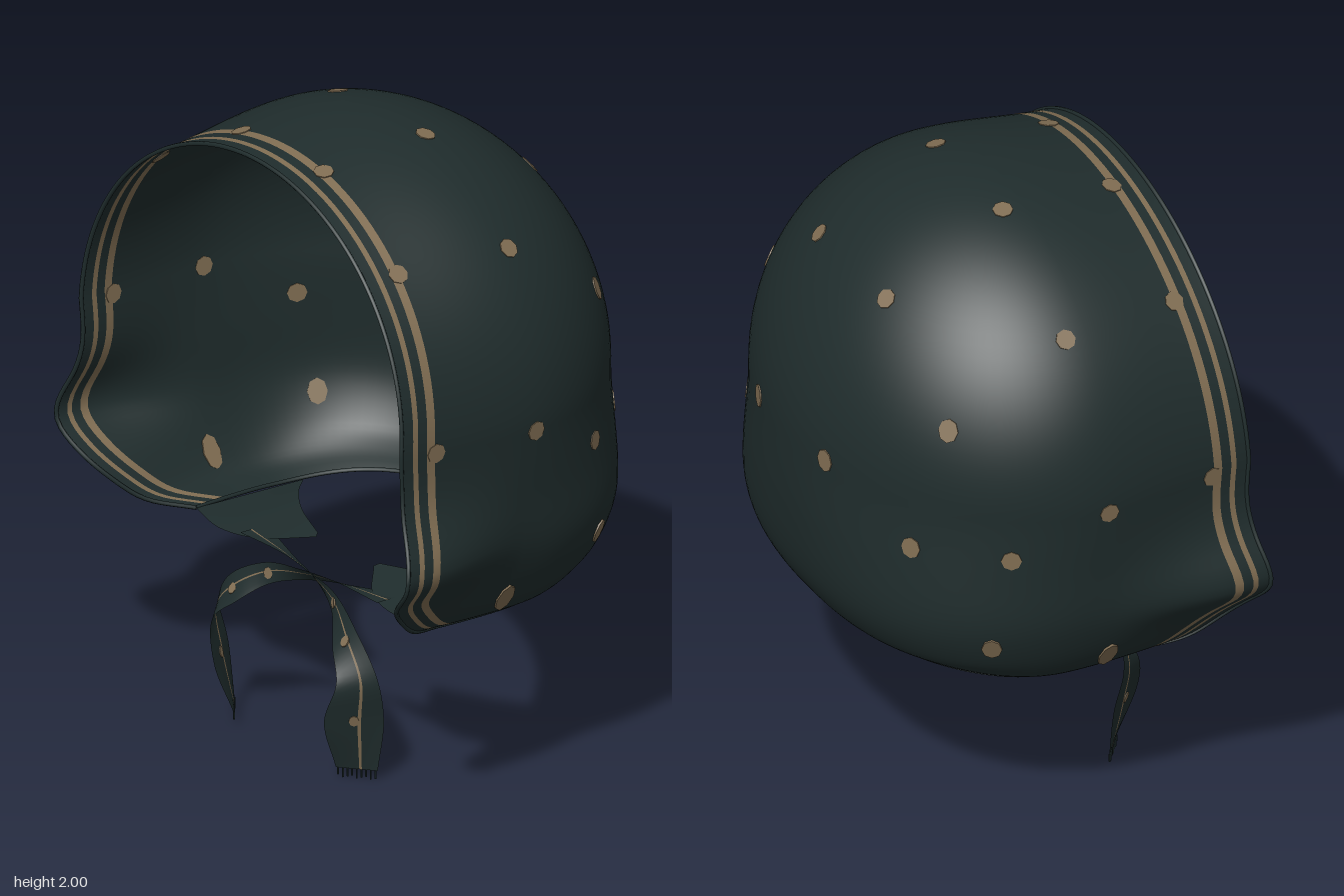
import * as THREE from 'three';
import { mergeVertices } from 'three/addons/utils/BufferGeometryUtils.js';

const smooth = THREE.MathUtils.smoothstep;
const V = (x, y, z) => new THREE.Vector3(x, y, z);

// Grid of points (rows of equal length) to a smooth surface; bandOf picks the material per column
function gridSurface(rows, bandOf = () => 0) {
  const n = rows[0].length, pos = [], index = [], geo = new THREE.BufferGeometry();
  rows.forEach(r => r.forEach(p => pos.push(p.x, p.y, p.z)));
  for (let c = 0; c < n - 1; c++) {
    const start = index.length;
    for (let r = 0; r < rows.length - 1; r++) {
      const a = r * n + c, b = a + 1, d = a + n, e = d + 1;
      index.push(a, b, d, b, e, d);
    }
    geo.addGroup(start, index.length - start, bandOf(c));
  }
  geo.setAttribute('position', new THREE.Float32BufferAttribute(pos, 3));
  geo.setIndex(index);
  const merged = mergeVertices(geo, 1e-4);
  merged.computeVertexNormals();
  return merged;
}

// Lower side profile: half width, height, depth behind the crown line, and front edge z
const LOWER = [
  [0.81, 1.25, 0.69, 0.56], [0.80, 1.12, 0.69, 0.555], [0.79, 1.0, 0.685, 0.567],
  [0.78, 0.86, 0.67, 0.595], [0.755, 0.76, 0.645, 0.57], [0.715, 0.67, 0.595, 0.495],
  [0.665, 0.605, 0.545, 0.41], [0.59, 0.567, 0.5, 0.28],
];
const lowerCurve = new THREE.CatmullRomCurve3(LOWER.map(p => V(p[0], p[1], p[2])), false, 'catmullrom');
const edgeCurve = new THREE.CatmullRomCurve3(LOWER.map(p => V(p[3], 0, 0)), false, 'catmullrom');
const CROWN_Z = 0.1;
const OFFSETS = [0, 0.02, 0.042, 0.06, 0.092, 0.12]; // hem and stripe borders

// One horizontal U-shaped slice, from the left front edge round the back to the right
function slice(W, y0, D, F) {
  const half = OFFSETS.map(o => [W, F - o]);
  for (let i = 1; i <= 10; i++) half.push([W, THREE.MathUtils.lerp(F - 0.12, CROWN_Z, i / 10)]);
  const power = 0.82 + 0.18 * smooth(y0, 0.8, 1.25); // squarer toward the neck
  for (let i = 1; i <= 28; i++) {
    const a = i / 28 * Math.PI / 2;
    half.push([i === 28 ? 0 : W * Math.cos(a) ** power, CROWN_Z - D * Math.sin(a) ** power]);
  }
  const left = half.map(([x, z]) => {
    const k = smooth(z, 0.1, 0.58);
    let y = y0 > 1.25 ? 1.25 + (y0 - 1.25) * (1 - 0.07 * k) : y0;
    y += 0.035 * smooth(-z, 0, 0.4) * (1 - smooth(y0, 0.57, 0.7));
    const spread = y0 > 0.86 ? 0.16 : 0.11;
    const flare = 0.105 * Math.exp(-(((y0 - 0.86) / spread) ** 2)) * smooth(z, 0.05, 0.52);
    return V(x * (1 - 0.04 * k) + (x > 0 ? flare : 0), y, z);
  });
  const right = left.slice(0, -1).reverse().map(p => V(-p.x, p.y, p.z));
  return [...left, ...right];
}

function hoodRows() {
  const rows = [];
  for (let i = 0; i < 32; i++) {
    const a = Math.PI / 2 * (1 - i / 32), c = i ? Math.cos(a) : 0;
    rows.push(slice(0.81 * c, 1.25 + 0.75 * Math.sin(a), 0.69 * c, 0.56 - 0.04 * Math.sin(a)));
  }
  for (let i = 0; i <= 32; i++) {
    const p = lowerCurve.getPoint(i / 32);
    rows.push(slice(p.x, p.y, p.z, edgeCurve.getPoint(i / 32).x));
  }
  return rows;
}

// Ribbon between two edge curves, with band fractions across its width
function ribbon(edgeA, edgeB, steps, cuts, bandOf) {
  const A = new THREE.CatmullRomCurve3(edgeA), B = new THREE.CatmullRomCurve3(edgeB), rows = [];
  for (let i = 0; i <= steps; i++) {
    const a = A.getPoint(i / steps), b = B.getPoint(i / steps);
    rows.push(cuts.map(f => a.clone().lerp(b, f)));
  }
  return gridSurface(rows, bandOf);
}

// Spot centres on the left half: x, y, z, height stretch
const SPOTS = [
  [0.215, 1.98, 0.03, 1], [0.61, 1.73, 0.03, 1], [0.215, 1.78, -0.37, 1], [0.575, 1.5, -0.35, 1.2],
  [0.21, 1.265, -0.57, 1.2], [0.51, 1.09, -0.43, 1.1], [0.74, 1.09, -0.22, 1], [0.69, 0.77, -0.26, 1.3],
  [0.2, 1.94, 0.405, 1], [0.57, 1.73, 0.415, 1], [0.8, 1.23, 0.435, 1], [0.81, 1.22, 0.075, 1],
  [0.7, 0.67, 0.12, 1.8],
];

// Tie: centre point followed by half-width vector
const TIE = [
  [-0.34, 0.572, 0.25, 0, 0, 0.05], [-0.14, 0.565, 0.28, 0, 0.012, 0.025],
  [0, 0.55, 0.30, 0, 0.022, 0.02], [0.15, 0.515, 0.33, 0.008, 0.032, 0],
  [0.265, 0.44, 0.375, 0.035, 0.03, -0.02], [0.335, 0.335, 0.385, 0.042, 0.01, -0.045],
  [0.315, 0.2, 0.38, 0.055, 0, -0.07], [0.29, 0.03, 0.35, 0.05, 0, -0.04],
];

export function createModel() {
  const model = new THREE.Group();
  const cloth = new THREE.MeshStandardMaterial({ name: 'dark green cloth', color: 0x1f2c2c, side: THREE.DoubleSide });
  const tan = new THREE.MeshStandardMaterial({ name: 'tan pattern', color: 0x806d52, side: THREE.DoubleSide });
  const add = (name, geo, mat, parent = model) => {
    const m = new THREE.Mesh(geo, mat);
    m.name = name;
    parent.add(m);
    return m;
  };

  // Hood shell with two stripes along the face opening
  const rows = hoodRows(), last = rows[0].length - 2;
  const shell = gridSurface(rows, c => [2, 4].includes(Math.min(c, last - c)) ? 1 : 0);
  add('hood', shell, [cloth, tan]);

  // Rolled hems round the face opening and the neck
  const left = rows.map(r => r[0]).reverse(), right = rows.slice(1).map(r => r[r.length - 1]);
  const hem = (name, pts) =>
    add(name, new THREE.TubeGeometry(new THREE.CatmullRomCurve3(pts), 160, 0.007, 6), cloth);
  hem('faceHem', [...left, ...right]);
  hem('neckHem', rows[rows.length - 1]);

  // Spots: thin discs set into the cloth so they show inside and out
  const spots = new THREE.Group();
  spots.name = 'spots';
  model.add(spots);
  const disc = new THREE.CylinderGeometry(0.031, 0.031, 0.005, 8).rotateX(Math.PI / 2);
  const addSpot = (center, normal, width, height) => {
    const spot = add('spot', disc, tan, spots);
    spot.position.copy(center);
    spot.lookAt(center.clone().add(normal));
    spot.scale.set(width, height, Math.max(1, height));
  };
  const P = shell.attributes.position, N = shell.attributes.normal;
  for (const [sx, sy, sz, stretch] of SPOTS) for (const side of [1, -1]) {
    const target = V(sx * side, sy, sz), p = V(), n = V();
    let best = 0, bestD = Infinity;
    for (let i = 0; i < P.count; i++) {
      const d = p.fromBufferAttribute(P, i).distanceToSquared(target);
      if (d < bestD) { bestD = d; best = i; }
    }
    p.fromBufferAttribute(P, best);
    n.fromBufferAttribute(N, best);
    target.addScaledVector(n, n.dot(p.clone().sub(target)));
    addSpot(target, n, 1, stretch);
  }

  for (const side of [1, -1]) {
    const label = side > 0 ? 'left' : 'right';
    const at = (x, y, z) => V(x * side, y, z);

    // Chin flap tapering to a point behind the knot
    add(label + 'ChinFlap', ribbon(
      [at(0.58, 0.567, 0.28), at(0.43, 0.56, 0.31), at(0.28, 0.568, 0.28), at(0.14, 0.59, 0.17)],
      [at(0.55, 0.572, -0.1), at(0.43, 0.597, 0.01), at(0.31, 0.602, 0.09), at(0.15, 0.597, 0.155)],
      16, [0, 0.5, 1]), [cloth]);

    // Tie ribbon with a fine stripe, crossing under the chin
    const dy = side > 0 ? 0 : 0.02, dz = side > 0 ? 0 : 0.012;
    const edge = s => TIE.map(([x, y, z, a, b, c], i) =>
      at(x + s * a, y + s * b + (i > 4 ? dy : 0), z + s * c + dz));
    const A = edge(-1), B = edge(1);
    add(label + 'Tie', ribbon(A, B, 48, [0, 0.2, 0.56, 0.62, 0.8, 1], c => c === 2 ? 1 : 0), [cloth, tan]);

    // Small spots along the tie
    for (const i of [3, 4, 6]) {
      const across = B[i].clone().sub(A[i]), along = A[i + 1].clone().sub(A[i - 1]);
      addSpot(A[i].clone().lerp(B[i], 0.5), across.cross(along).normalize(), 0.5, 0.6);
    }

    // Frayed threads at the tie's end
    const fringe = new THREE.Group();
    fringe.name = label + 'Fringe';
    model.add(fringe);
    for (let i = 0; i < 9; i++) {
      const length = 0.022 + 0.008 * ((i * 5) % 3) / 2;
      const thread = add('thread', new THREE.BoxGeometry(0.004, length, 0.004), cloth, fringe);
      thread.position.copy(A[7]).lerp(B[7], (i + 0.5) / 9);
      thread.position.y -= length / 2;
    }
  }
  return model;
}
